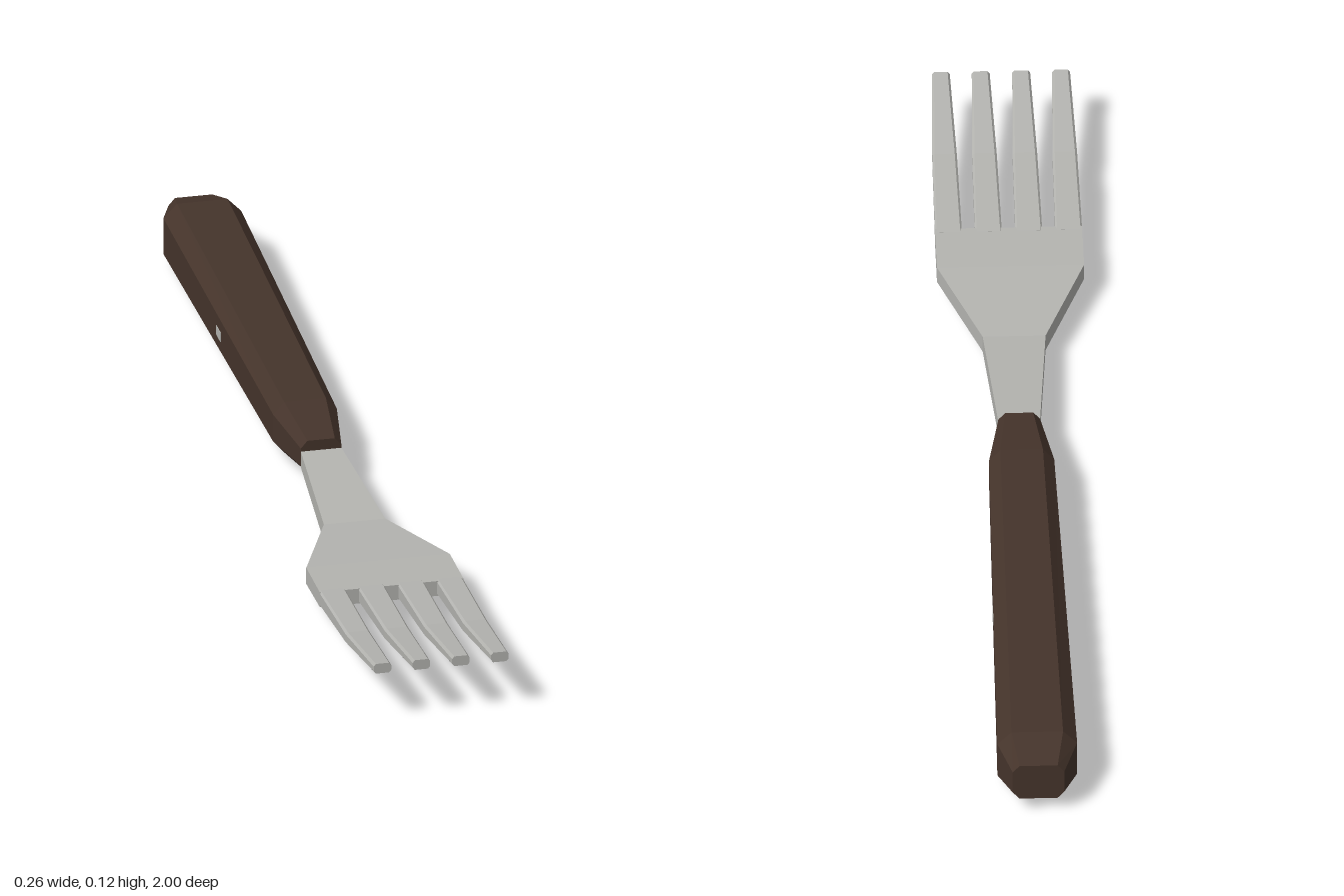
import * as THREE from 'three';

// Chamfered rectangle, counter-clockwise seen from +z
function ring({ z, x = 0, w, y0, y1, cx = 0, cy = 0 }) {
  const p = (px, py) => new THREE.Vector3(x + px, py, z);
  if (!cx) return [p(-w, y0), p(w, y0), p(w, y1), p(-w, y1)];
  return [
    p(-w + cx, y0), p(w - cx, y0), p(w, y0 + cy), p(w, y1 - cy),
    p(w - cx, y1), p(-w + cx, y1), p(-w, y1 - cy), p(-w, y0 + cy),
  ];
}

// Closed, faceted loft through sections ordered by rising z
function loft(name, sections, material) {
  const rings = sections.map(ring);
  const n = rings[0].length;
  const pos = [];
  const tri = (...v) => v.forEach((q) => pos.push(q.x, q.y, q.z));
  for (let i = 0; i < rings.length - 1; i++) {
    for (let j = 0; j < n; j++) {
      const k = (j + 1) % n;
      const [a, b, c, d] = [rings[i][j], rings[i][k], rings[i + 1][k], rings[i + 1][j]];
      tri(a, b, c);
      tri(a, c, d);
    }
  }
  const first = rings[0], last = rings[rings.length - 1];
  for (let j = 1; j < n - 1; j++) {
    tri(first[0], first[j + 1], first[j]);
    tri(last[0], last[j], last[j + 1]);
  }
  const geometry = new THREE.BufferGeometry();
  geometry.setAttribute('position', new THREE.Float32BufferAttribute(pos, 3));
  geometry.computeVertexNormals();
  const mesh = new THREE.Mesh(geometry, material);
  mesh.name = name;
  return mesh;
}

export function createModel() {
  const wood = new THREE.MeshStandardMaterial({ color: 0x45342b });
  wood.name = 'dark wood';
  const metal = new THREE.MeshStandardMaterial({ color: 0xb4b4b0 });
  metal.name = 'steel';

  const fork = new THREE.Group();
  fork.name = 'fork';

  // Eight-sided tapered handle
  fork.add(loft('handle', [
    { z: -1, w: 0.046, y0: 0.027, y1: 0.1, cx: 0.012, cy: 0.014 },
    { z: -0.93, w: 0.071, y0: 0, y1: 0.122, cx: 0.025, cy: 0.026 },
    { z: -0.1, w: 0.058, y0: 0.014, y1: 0.113, cx: 0.02, cy: 0.023 },
    { z: 0.03, w: 0.037, y0: 0.033, y1: 0.095, cx: 0.012, cy: 0.014 },
  ], wood));

  // Neck and flared palm
  fork.add(loft('neckAndPalm', [
    { z: -0.05, w: 0.032, y0: 0.049, y1: 0.079 },
    { z: 0.03, w: 0.037, y0: 0.044, y1: 0.075 },
    { z: 0.3, w: 0.056, y0: 0.025, y1: 0.058 },
    { z: 0.49, w: 0.131, y0: 0.036, y1: 0.068 },
    { z: 0.6, w: 0.131, y0: 0.041, y1: 0.07 },
  ], metal));

  // Four upswept tines
  for (const x of [-0.107, -0.036, 0.036, 0.107]) {
    fork.add(loft('tine', [
      { z: 0.59, x, w: 0.024, y0: 0.041, y1: 0.07, cx: 0.003, cy: 0.003 },
      { z: 0.8, x, w: 0.022, y0: 0.06, y1: 0.083, cx: 0.004, cy: 0.004 },
      { z: 1, x, w: 0.016, y0: 0.093, y1: 0.112, cx: 0.004, cy: 0.005 },
    ], metal));
  }

  // Small steel pin showing on both sides of the handle
  const pin = new THREE.Mesh(new THREE.BoxGeometry(0.131, 0.018, 0.034), metal);
  pin.name = 'handlePin';
  pin.position.set(0, 0.061, -0.512);
  fork.add(pin);

  return fork;
}
